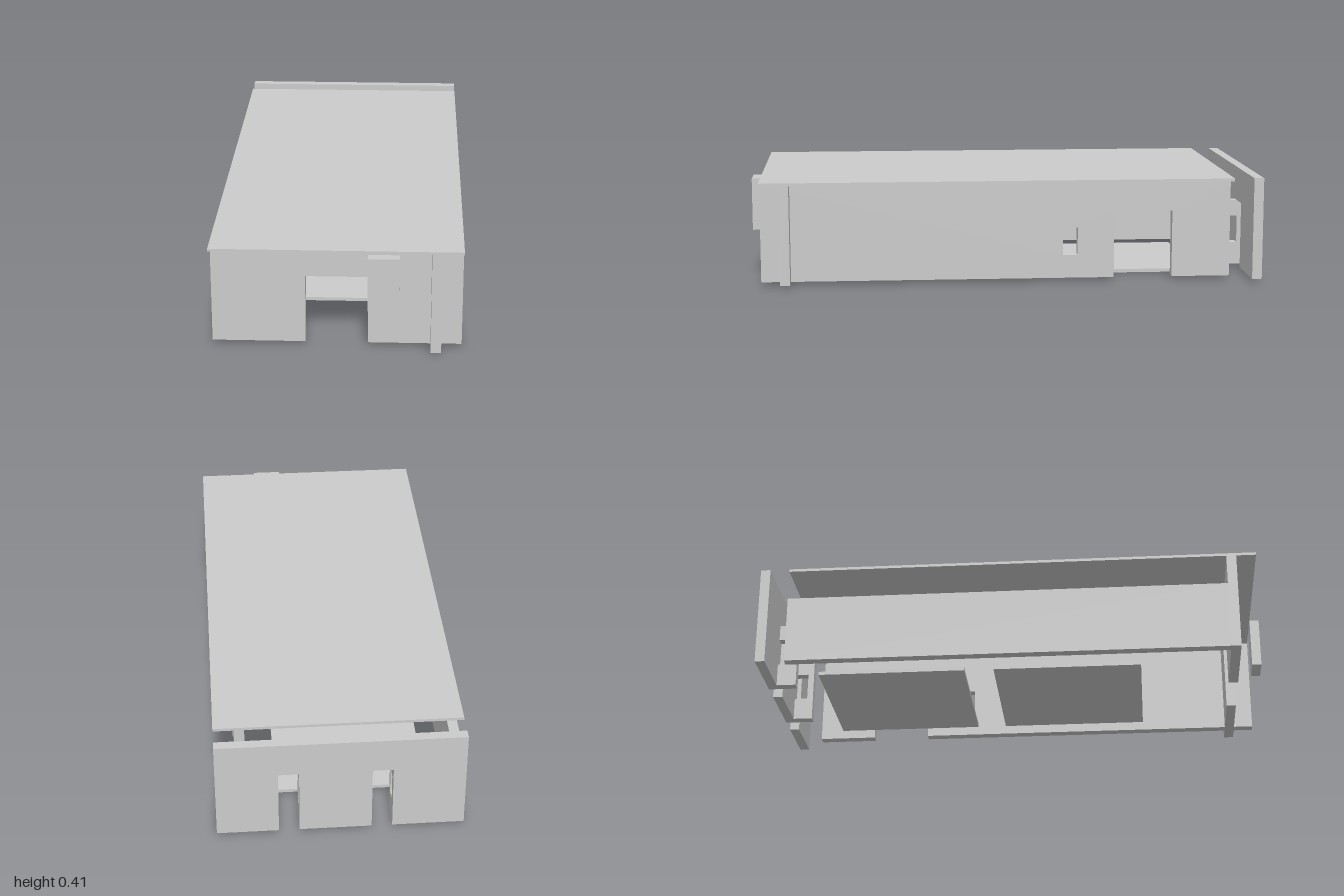
import * as THREE from 'three';

const U = 1 / 26;          // wall thickness, the base module of the plan
const Y0 = 0.0135;         // underside of the walls
const WALL_TOP = 0.403;
const ROOF_TOP = 0.414;
const DOOR_TOP = 0.278;
const SILL = 0.105, LINTEL = 0.215;

const material = new THREE.MeshStandardMaterial({ color: 0xcccccc, flatShading: true });

// Box from its lower and upper limits on each axis
function box(name, [x0, x1], [y0, y1], [z0, z1]) {
  const mesh = new THREE.Mesh(new THREE.BoxGeometry(x1 - x0, y1 - y0, z1 - z0), material);
  mesh.name = name;
  mesh.position.set((x0 + x1) / 2, (y0 + y1) / 2, (z0 + z1) / 2);
  return mesh;
}

// Upright panel outline from a to b, with doorways cut up from the bottom edge
function panelShape(a, b, top, doors = []) {
  const pts = [[a, Y0]];
  for (const [d0, d1] of doors) pts.push([d0, Y0], [d0, DOOR_TOP], [d1, DOOR_TOP], [d1, Y0]);
  pts.push([b, Y0], [b, top], [a, top]);
  return new THREE.Shape(pts.map(p => new THREE.Vector2(...p)));
}

function extrude(name, shape) {
  const mesh = new THREE.Mesh(
    new THREE.ExtrudeGeometry(shape, { depth: U, bevelEnabled: false }), material);
  mesh.name = name;
  return mesh;
}

// Panel facing z, its back face at z
function crossWall(name, shape, z) {
  const mesh = extrude(name, shape);
  mesh.position.z = z;
  return mesh;
}

// Panel running along z, its +x face at x
function longWall(name, shape, x) {
  const mesh = extrude(name, shape);
  mesh.rotation.y = -Math.PI / 2;
  mesh.position.x = x;
  return mesh;
}

export function createModel() {
  const group = new THREE.Group();
  group.name = 'house';

  // Roof and the two floor slabs
  group.add(box('roof', [-12 * U, 12 * U], [WALL_TOP, ROOF_TOP], [-23 * U, 25 * U]));
  for (const z of [-20 * U, -2 * U]) {
    group.add(box('floorSlab', [-9 * U, 6 * U], [0, Y0], [z, z + 15 * U]));
  }

  // Front wall with doorway, short pier past the side wall, hanging front box
  group.add(crossWall('frontWall', panelShape(-12 * U, 9 * U, WALL_TOP, [[-3 * U, 3 * U]]), 22 * U));
  group.add(box('frontPier', [10 * U, 12 * U], [Y0, WALL_TOP], [22 * U, 23 * U]));
  group.add(box('frontBox', [3 * U, 6 * U], [0.195, 0.4], [25 * U, 26 * U]));

  // Tall side wall with doorway and small window
  const side = panelShape(-23 * U, 25 * U, WALL_TOP, [[-17 * U, -11 * U]]);
  side.holes.push(new THREE.Path([
    [-7.25 * U, SILL], [-7.25 * U, LINTEL], [-5.75 * U, LINTEL], [-5.75 * U, SILL],
  ].map(p => new THREE.Vector2(...p))));
  group.add(longWall('tallSideWall', side, 10 * U));

  // Low wall on the opposite side
  group.add(longWall('lowSideWall', panelShape(-23 * U, 22 * U, 0.283), -11 * U));

  // Back wall with two narrow doorways, each with a notched fin beside it
  const openings = [[-5 * U, -3 * U], [4 * U, 6 * U]];
  group.add(crossWall('backWall', panelShape(-12 * U, 12 * U, ROOF_TOP, openings), -26 * U));
  for (const [x] of openings) {
    const z0 = -25 * U, z1 = -23 * U, notch = -0.909;
    const fin = new THREE.Shape([
      [z0, Y0], [z1, Y0], [z1, DOOR_TOP], [z0, DOOR_TOP],
      [z0, LINTEL], [notch, LINTEL], [notch, SILL], [z0, SILL],
    ].map(p => new THREE.Vector2(...p)));
    group.add(longWall('backFin', fin, x));
  }

  return group;
}
